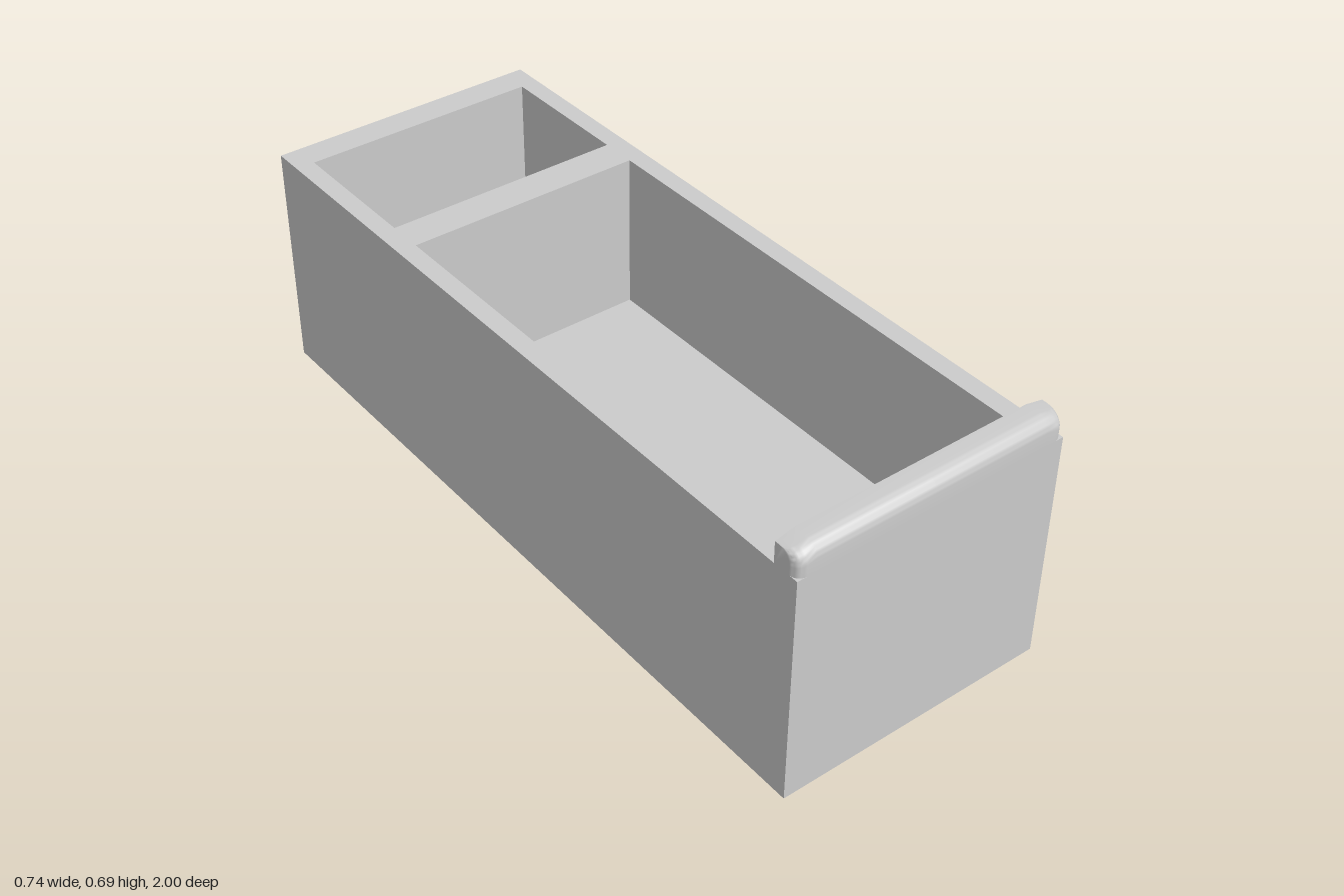
import * as THREE from 'three';
import { toCreasedNormals } from 'three/addons/utils/BufferGeometryUtils.js';

const W = 0.37, H = 0.62, FLOOR = 0.19, INNER = 0.32;
const POCKETS = [
  { name: 'smallCompartment', z0: -0.92, z1: -0.54 },
  { name: 'largeCompartment', z0: -0.445, z1: 0.893 },
];

// Box without its top face; inward = true turns the faces to the inside
function openBox(w, h, d, inward) {
  const g = new THREE.BoxGeometry(w, h, d);
  const index = Array.from(g.index.array);
  index.splice(12, 6);
  g.setIndex(index);
  g.clearGroups();
  if (inward) {
    g.scale(-1, 1, 1);
    g.computeVertexNormals();
  }
  return g;
}

function rectangle(path, x, z0, z1) {
  path.moveTo(-x, -z1);
  path.lineTo(x, -z1);
  path.lineTo(x, -z0);
  path.lineTo(-x, -z0);
  path.closePath();
  return path;
}

// Front lip: a rounded profile lofted across x, with sloped and rounded ends
function lipGeometry() {
  const back = 0.93, round = 0.033, corner = 0.025, arc = 8;
  const half = [0, 0.32];
  for (let i = 0; i <= 6; i++) half.push(W - corner + corner * Math.sin((i / 6) * Math.PI / 2));
  const xs = [...half.slice(1).reverse().map((x) => -x), ...half];
  const pos = [], idx = [];
  for (const x of xs) {
    const a = Math.abs(x);
    const top = 0.688 - 0.011 * Math.max(0, (a - 0.32) / (W - 0.32));
    const t = Math.max(0, a - (W - corner));
    const front = 1 - corner + Math.sqrt(Math.max(0, corner * corner - t * t));
    pos.push(x, H, back, x, H, front);
    for (let k = 0; k <= arc; k++) {
      const q = (k / arc) * Math.PI / 2;
      pos.push(x, top - round + round * Math.sin(q), front - round + round * Math.cos(q));
    }
    pos.push(x, top, back);
  }
  const n = arc + 4, last = (xs.length - 1) * n;
  for (let i = 0; i < xs.length - 1; i++) {
    for (let j = 0; j < n; j++) {
      const a = i * n + j, b = i * n + (j + 1) % n;
      idx.push(a, a + n, b + n, a, b + n, b);
    }
  }
  for (let j = 1; j < n - 1; j++) idx.push(0, j, j + 1, last, last + j + 1, last + j);
  const g = new THREE.BufferGeometry();
  g.setAttribute('position', new THREE.Float32BufferAttribute(pos, 3));
  g.setIndex(idx);
  return toCreasedNormals(g, 0.6);
}

export function createModel() {
  const group = new THREE.Group();
  const material = new THREE.MeshStandardMaterial({ color: 0xcccccc });
  const add = (name, geometry, y = 0, z = 0) => {
    const mesh = new THREE.Mesh(geometry, material);
    mesh.name = name;
    mesh.position.set(0, y, z);
    group.add(mesh);
  };

  // Outer walls and underside
  add('outerWalls', openBox(2 * W, H, 2, false), H / 2);

  // Top rim and the divider between the compartments
  const rim = rectangle(new THREE.Shape(), W, -1, 1);
  for (const p of POCKETS) rim.holes.push(rectangle(new THREE.Path(), INNER, p.z0, p.z1));
  add('topRim', new THREE.ShapeGeometry(rim).rotateX(-Math.PI / 2), H);

  // Inner walls and floors
  for (const p of POCKETS) {
    add(p.name, openBox(2 * INNER, H - FLOOR, p.z1 - p.z0, true), (H + FLOOR) / 2, (p.z0 + p.z1) / 2);
  }

  add('frontLip', lipGeometry());
  return group;
}
